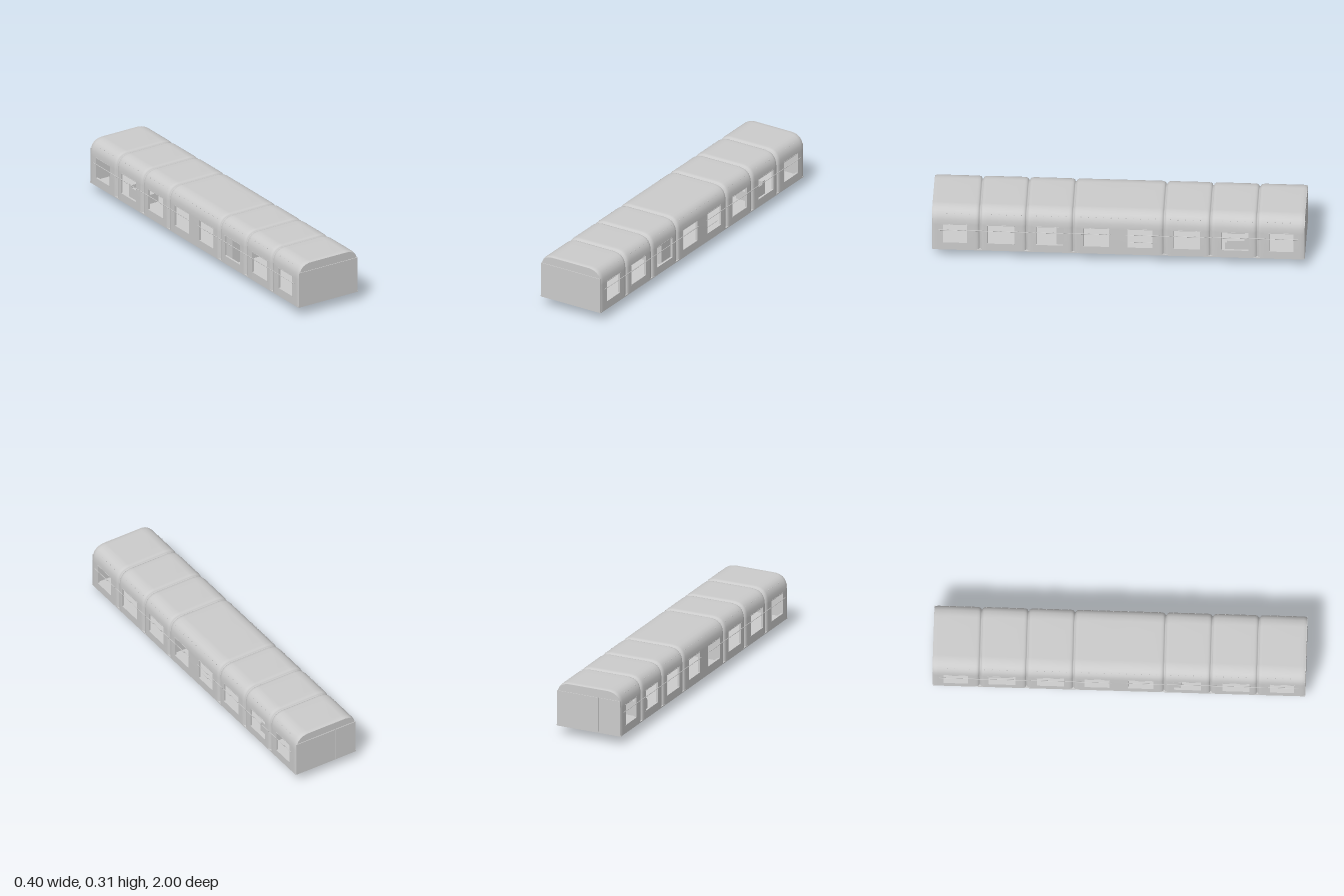
import * as THREE from 'three';
import { mergeGeometries } from 'three/addons/utils/BufferGeometryUtils.js';

const W = 0.193, FLOOR = 0.053, SILL = 0.1, HEAD = 0.216, END = 0.997;
const SEAMS = [-0.745, -0.495, -0.245, 0.242, 0.492, 0.742];
const WINDOWS = [[0.05, 0.185], [0.295, 0.44], [0.555, 0.7], [0.81, 0.94]]
  .flatMap(([a, b]) => [[a, b], [-b, -a]]);

const grey = new THREE.MeshStandardMaterial({ color: 0xcccccc });
const skin = new THREE.MeshStandardMaterial({ color: 0xcccccc, side: THREE.DoubleSide });
const red = new THREE.MeshStandardMaterial({ color: 0x8c1c30 });

// half cross-section from the bottom edge to the middle of the roof
const half = [
  [W, FLOOR], [W, 0.07], [W, SILL], [W, HEAD], [0.192, 0.23], [0.1905, 0.245], [0.187, 0.26],
  [0.179, 0.277], [0.166, 0.291], [0.149, 0.3], [0.127, 0.305], [0.11, 0.3055], [0, 0.3055],
];
const section = [...half, ...half.slice(0, -1).reverse().map(([x, y]) => [-x, y])];

function shrink([x, y], inset) {
  return [x * (1 - inset / W), y - inset * Math.max(0, (y - HEAD) / (0.3055 - HEAD))];
}

// span of the box is given by its two corners
function boxGeo(x0, x1, y0, y1, z0, z1) {
  return new THREE.BoxGeometry(x1 - x0, y1 - y0, z1 - z0)
    .translate((x0 + x1) / 2, (y0 + y1) / 2, (z0 + z1) / 2);
}

function rod(x, y, z0, z1, r = 0.002) {
  return new THREE.CylinderGeometry(r, r, z1 - z0, 8).rotateX(Math.PI / 2).translate(x, y, (z0 + z1) / 2);
}

// walls and roof as one skin, pinched in at the seams and open at the windows
function shellGeometry() {
  const stations = [];
  const rounding = [[0.003, 0.012], [0.005, 0.007], [0.01, 0.003], [0.017, 0.001], [0.026, 0]];
  for (const s of SEAMS) {
    for (const [d, inset] of rounding) stations.push([s - d, inset], [s + d, inset]);
  }
  for (const e of [-1, 1]) {
    stations.push([e * END, 0.004], [e * (END - 0.006), 0.0015], [e * (END - 0.016), 0], [e * 0.97, 0]);
  }
  for (const [a, b] of WINDOWS) stations.push([a, 0], [b, 0]);
  stations.sort((p, q) => p[0] - q[0]);

  const pos = [], index = [], n = section.length;
  for (const [z, inset] of stations) {
    for (const p of section) pos.push(...shrink(p, inset), z);
  }
  for (let j = 0; j < stations.length - 1; j++) {
    const mid = (stations[j][0] + stations[j + 1][0]) / 2;
    const glazed = WINDOWS.some(([a, b]) => mid > a && mid < b);
    for (let i = 0; i < n - 1; i++) {
      if (glazed && (i === 2 || i === n - 4)) continue;
      const a = j * n + i, b = a + 1, c = b + n, d = a + n;
      index.push(a, b, c, a, c, d);
    }
  }
  const geo = new THREE.BufferGeometry();
  geo.setAttribute('position', new THREE.Float32BufferAttribute(pos, 3));
  geo.setIndex(index);
  geo.computeVertexNormals();
  return geo;
}

// flat plate cut from the cross-section between two heights
function endPlate(y0, y1, z) {
  const pts = section.map(p => shrink(p, 0.004)).filter(([, y]) => y >= y0 && y <= y1);
  const shape = new THREE.Shape(pts.map(([x, y]) => new THREE.Vector2(x, y)));
  return new THREE.ExtrudeGeometry(shape, { depth: 0.004, bevelEnabled: false }).translate(0, 0, z);
}

export function createModel() {
  const model = new THREE.Group();
  const add = (name, geos, material = grey) => {
    const mesh = new THREE.Mesh(Array.isArray(geos) ? mergeGeometries(geos) : geos, material);
    mesh.name = name;
    model.add(mesh);
  };

  add('bodyShell', shellGeometry(), skin);
  add('floor', boxGeo(-W, W, FLOOR, FLOOR + 0.006, -END, END));

  // end walls: recessed backing, roof plate and lower panels with seams between
  for (const s of [-1, 1]) {
    const z = s > 0 ? 0.996 : -1;
    add(s > 0 ? 'frontBacking' : 'backBacking', endPlate(0, 1, s > 0 ? 0.992 : -0.996));
    add(s > 0 ? 'frontRoofPlate' : 'backRoofPlate', endPlate(0.258, 1, z));
    const panels = s > 0 ? [[-0.189, 0.189]] : [[-0.189, -0.064], [-0.06, 0.189]];
    add(s > 0 ? 'frontPanel' : 'backPanels',
      panels.map(([a, b]) => boxGeo(a, b, FLOOR, 0.254, z, z + 0.004)));
  }

  // window reveals on both sides
  const frames = [];
  for (const s of [-1, 1]) {
    const [x0, x1] = s > 0 ? [0.182, 0.194] : [-0.194, -0.182];
    for (const [a, b] of WINDOWS) {
      frames.push(
        boxGeo(x0, x1, SILL - 0.003, SILL, a, b), boxGeo(x0, x1, HEAD, HEAD + 0.003, a, b),
        boxGeo(x0, x1, SILL, HEAD, a - 0.003, a), boxGeo(x0, x1, SILL, HEAD, b, b + 0.003));
    }
  }
  add('windowFrames', frames);

  // two long handrails on each side
  const rails = [];
  for (const x of [-0.196, 0.196]) rails.push(rod(x, 0.182, 0.04, 0.965), rod(x, 0.182, -0.965, -0.04));
  add('handrails', rails);

  // small rivets along the roof edge
  const rivets = [];
  for (let z = -0.92; z < 0.93; z += 0.04) {
    if (SEAMS.some(s => Math.abs(s - z) < 0.025)) continue;
    for (const s of [-1, 1]) rivets.push(new THREE.SphereGeometry(0.0028, 6, 4).translate(s * 0.178, 0.279, z));
  }
  add('roofRivets', rivets);

  // equipment box under the floor, with corner strips and bolts
  const strips = [];
  for (const x of [-0.0365, 0.0365]) {
    for (const z of [0.4665, 0.5335]) strips.push(boxGeo(x - 0.002, x + 0.002, 0, FLOOR, z - 0.002, z + 0.002));
  }
  add('underfloorBox', [boxGeo(-0.037, 0.037, 0, FLOOR, 0.466, 0.534), ...strips]);
  add('boxBolts', [0.02, 0.049].map(y =>
    new THREE.CylinderGeometry(0.003, 0.003, 0.002, 10).rotateX(Math.PI / 2).translate(0, y, 0.535)));

  // interior: overhead racks with red edging, cabinet, low rail and armchairs
  const racks = [[-0.97, -0.02], [0.25, 0.74]];
  add('overheadRacks', racks.map(([a, b]) => boxGeo(-0.17, 0.17, 0.236, 0.242, a, b)));
  add('rackEdging', racks.flatMap(([a, b]) =>
    [-0.045, 0.045].map(x => boxGeo(x - 0.005, x + 0.005, 0.22, 0.236, a, b))), red);
  add('cabinet', boxGeo(-0.17, 0.15, FLOOR, 0.235, 0.245, 0.333));
  add('lowRail', rod(0.17, 0.118, -0.185, -0.05));
  const chairs = [];
  for (const x of [-0.09, 0.09]) {
    chairs.push(boxGeo(x - 0.05, x + 0.05, FLOOR, 0.112, -0.7, -0.57),
      boxGeo(x - 0.05, x + 0.05, 0.112, 0.142, -0.7, -0.675),
      boxGeo(x - 0.05, x - 0.035, 0.112, 0.125, -0.675, -0.58),
      boxGeo(x + 0.035, x + 0.05, 0.112, 0.125, -0.675, -0.58));
  }
  add('armchairs', chairs);
  return model;
}
